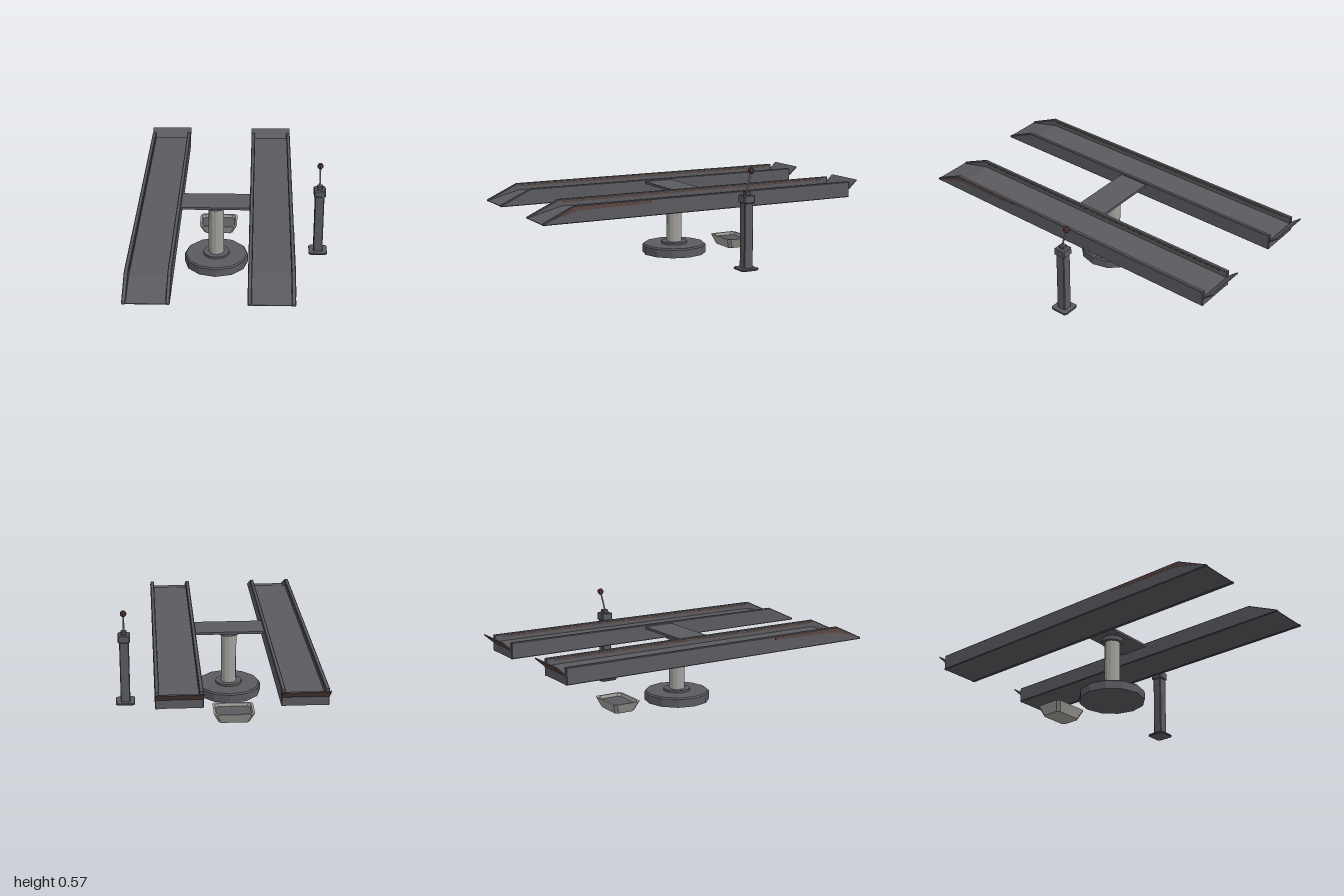
import * as THREE from 'three';

const mat = (name, color) => {
  const m = new THREE.MeshStandardMaterial({ color });
  m.name = name;
  return m;
};

export function createModel() {
  const steel = mat('dark steel', 0x5b5a60);
  const chrome = mat('light metal', 0xa09f9b);
  const rust = mat('rusty brown', 0x5a4640);
  const knobRed = mat('dull red', 0x553835);
  const model = new THREE.Group();
  model.name = 'vehicleLift';

  const add = (parent, name, geometry, material, x = 0, y = 0, z = 0) => {
    const g = geometry.index ? geometry.toNonIndexed() : geometry;
    g.computeVertexNormals(); // faceted look
    const mesh = new THREE.Mesh(g, material);
    mesh.name = name;
    mesh.position.set(x, y, z);
    parent.add(mesh);
    return mesh;
  };

  // Side outline in (z, y), extruded across x and centred
  const sidePlate = (points, width, bevel = 0) => {
    const shape = new THREE.Shape(points.map(([z, y]) => new THREE.Vector2(z, y)));
    const g = new THREE.ExtrudeGeometry(shape, {
      depth: width - 2 * bevel, bevelEnabled: bevel > 0, bevelSize: bevel,
      bevelThickness: bevel, bevelOffset: -bevel, bevelSegments: 1,
    });
    g.rotateY(-Math.PI / 2);
    g.translate(width / 2 - bevel, 0, 0);
    return g;
  };

  // Rounded rectangle block standing on y = 0, with a chamfered top edge
  const block = (w, h, d, corner, bevel) => {
    const a = w / 2, b = d / 2, c = corner;
    const shape = new THREE.Shape([
      [-a + c, -b], [a - c, -b], [a, -b + c], [a, b - c],
      [a - c, b], [-a + c, b], [-a, b - c], [-a, -b + c],
    ].map(([x, y]) => new THREE.Vector2(x, y)));
    const g = new THREE.ExtrudeGeometry(shape, {
      depth: h - 2 * bevel, bevelEnabled: true, bevelSize: bevel,
      bevelThickness: bevel, bevelOffset: -bevel, bevelSegments: 1,
    });
    g.rotateX(-Math.PI / 2);
    g.translate(0, bevel, 0);
    return g;
  };

  // Runways with ramped noses, side rails and rear stop flaps
  const width = 0.247, rail = 0.022;
  [[-0.4315, -1, 'rightRunway'], [0.21, 1, 'leftRunway']].forEach(([x, outer, name]) => {
    const runway = new THREE.Group();
    runway.name = name;
    runway.position.x = x;
    model.add(runway);
    add(runway, 'deck', sidePlate([[-0.945, 0.322], [1, 0.322], [1, 0.326], [0.81, 0.375], [-0.945, 0.375]], width - 0.01), steel);
    for (const s of [-1, 1]) {
      const rx = s * (width - rail) / 2;
      add(runway, 'sideRail', sidePlate([[-0.945, 0.32], [1, 0.32], [1, 0.33], [0.82, 0.413], [-0.945, 0.413]], rail, 0.004), steel, rx);
      // Worn streak along the inner face of each rail
      add(runway, 'innerWear', new THREE.BoxGeometry(0.002, 0.008, 1.7), rust, rx - s * rail / 2, 0.399, -0.05);
    }
    // Worn nose of the outer rail
    const ox = outer * (width - rail) / 2;
    add(runway, 'noseWear', sidePlate([[0.985, 0.327], [0.988, 0.333], [0.82, 0.411], [0.8, 0.408], [0.8, 0.38]], rail - 0.006), rust, ox, 0.002);
    add(runway, 'outerWear', sidePlate([[0.95, 0.345], [0.82, 0.407], [0.37, 0.407], [0.37, 0.392], [0.8, 0.385]], 0.002), rust, outer * width / 2);
    add(runway, 'stopFlap', sidePlate([[-0.944, 0.371], [-0.941, 0.374], [-0.996, 0.422], [-0.999, 0.419]], width), steel);
    add(runway, 'flapUnderside', sidePlate([[-0.946, 0.369], [-0.944, 0.371], [-0.998, 0.419], [-1, 0.417]], width), rust);
  });

  // Central column, from floor disc to cross beam
  const column = new THREE.Group();
  column.name = 'column';
  column.position.x = -0.11;
  model.add(column);
  const disc = (name, r1, r0, y0, y1, m) =>
    add(column, name, new THREE.CylinderGeometry(r1, r0, y1 - y0, 12), m, 0, (y0 + y1) / 2, 0);
  disc('floorDisc', 0.188, 0.188, 0, 0.047, steel);
  disc('floorDiscBevel', 0.18, 0.188, 0.047, 0.055, steel);
  disc('lowerCollar', 0.077, 0.077, 0.055, 0.068, steel);
  disc('post', 0.045, 0.045, 0.068, 0.364, chrome);
  disc('upperCollar', 0.063, 0.063, 0.364, 0.39, steel);
  add(column, 'crossBeam', new THREE.BoxGeometry(0.41, 0.014, 0.18), steel, 0, 0.395, 0);

  // Control pedestal
  const pedestal = new THREE.Group();
  pedestal.name = 'controlPedestal';
  pedestal.position.set(0.496, 0, -0.133);
  model.add(pedestal);
  add(pedestal, 'footPlate', block(0.11, 0.012, 0.11, 0.012, 0.003), steel);
  add(pedestal, 'pedestalPost', block(0.055, 0.37, 0.055, 0.004, 0.001), steel, 0, 0.01, 0);
  add(pedestal, 'pedestalHead', block(0.07, 0.045, 0.07, 0.006, 0.005), steel, 0, 0.376, 0);
  add(pedestal, 'leverSocket', block(0.034, 0.018, 0.034, 0.004, 0.002), steel, 0, 0.421, 0);
  const start = new THREE.Vector3(0, 0.432, 0.003), end = new THREE.Vector3(0, 0.55, -0.026);
  const lever = add(pedestal, 'lever', new THREE.CylinderGeometry(0.005, 0.005, start.distanceTo(end), 8), chrome);
  lever.position.copy(start).lerp(end, 0.5);
  lever.quaternion.setFromUnitVectors(new THREE.Vector3(0, 1, 0), end.clone().sub(start).normalize());
  add(pedestal, 'knob', new THREE.SphereGeometry(0.019, 8, 5), knobRed, 0, 0.553, -0.027);

  // Flared open tray, built from chamfered rectangular loops
  const loops = [[0, 0.088, 0.062], [0.058, 0.115, 0.085], [0.058, 0.103, 0.073], [0.038, 0.097, 0.067]];
  const ring = ([y, a, b]) => {
    const c = 0.016;
    return [[a - c, b], [a, b - c], [a, -b + c], [a - c, -b], [-a + c, -b], [-a, -b + c], [-a, b - c], [-a + c, b]]
      .map(([x, z]) => [x, y, z]);
  };
  const pos = [];
  for (let i = 0; i < loops.length - 1; i++) {
    const lo = ring(loops[i]), hi = ring(loops[i + 1]);
    for (let j = 0; j < 8; j++) {
      const k = (j + 1) % 8;
      pos.push(...lo[j], ...lo[k], ...hi[k], ...lo[j], ...hi[k], ...hi[j]);
    }
  }
  const base = ring(loops[0]);
  for (let j = 1; j < 7; j++) pos.push(...base[0], ...base[j + 1], ...base[j]);
  const tray = new THREE.BufferGeometry();
  tray.setAttribute('position', new THREE.Float32BufferAttribute(pos, 3));
  add(model, 'tray', tray, chrome, -0.11, 0.003, -0.395);
  add(model, 'trayFilling', block(0.198, 0.006, 0.138, 0.016, 0.001), steel, -0.11, 0.038, -0.395);

  return model;
}
